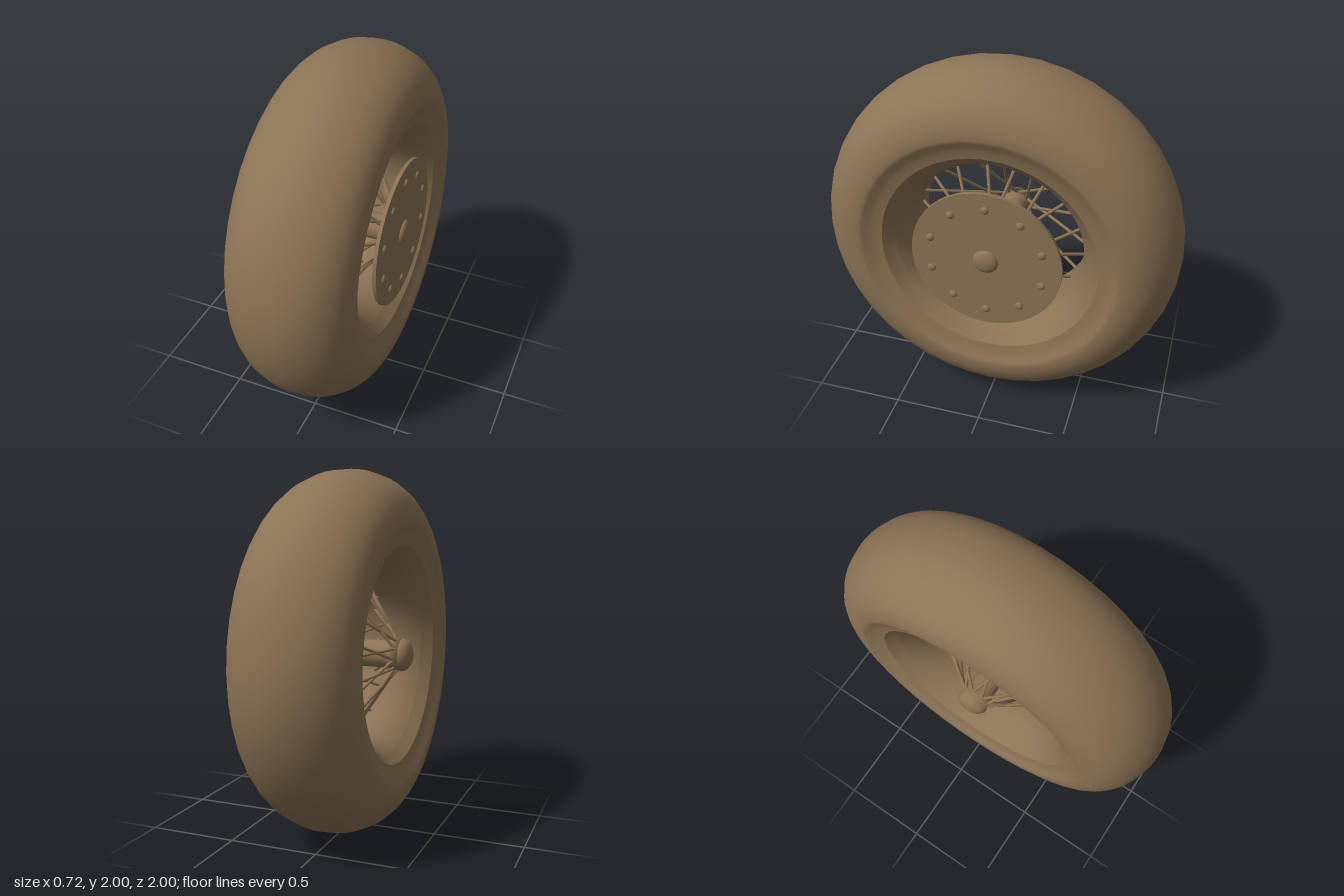
import * as THREE from 'three';

const V2 = (r, x) => new THREE.Vector2(r, x);

export function createModel() {
  const root = new THREE.Group();
  root.name = 'spokedWheel';
  const brown = new THREE.MeshStandardMaterial({ color: 0x8b7355 });
  brown.name = 'brown';

  // The wheel is built around its axle, which runs along x at y = 1
  const wheel = new THREE.Group();
  wheel.name = 'wheel';
  wheel.position.y = 1;
  root.add(wheel);

  const add = (name, geometry, parent = wheel) => {
    const mesh = new THREE.Mesh(geometry, brown);
    mesh.name = name;
    parent.add(mesh);
    return mesh;
  };
  // Revolves [radius, x] points around the axle
  const revolve = (name, points, segments = 40) => add(name,
    new THREE.LatheGeometry(points, segments).rotateZ(-Math.PI / 2).rotateX(Math.PI / 2));

  // Tyre: recessed sidewall, then a round tread
  const side = [V2(0.6, 0.3), V2(0.64, 0.308), V2(0.675, 0.32), V2(0.7, 0.336)];
  const tyre = side.map(p => V2(p.x, -p.y));
  for (let i = 0; i <= 24; i++) {
    const a = -Math.PI / 2 + Math.PI * i / 24;
    tyre.push(V2(0.72 + 0.28 * Math.cos(a), 0.341 * Math.sin(a)));
  }
  tyre.push(...side.slice().reverse());
  revolve('tyre', tyre);

  // Rim: a sloping lip each side and a rounded well between them
  revolve('rimLipLeft', [V2(0.6, 0.3), V2(0.545, 0.24)]);
  revolve('rimLipRight', [V2(0.545, -0.24), V2(0.6, -0.3)]);
  const well = [];
  for (let i = 0; i <= 16; i++) {
    const x = 0.24 - 0.48 * i / 16;
    well.push(V2(0.48 + 0.065 * Math.pow(Math.abs(x) / 0.24, 3), x));
  }
  revolve('rimWell', well);

  // Hub with a flange at each end
  revolve('hub', [V2(0, -0.3), V2(0.085, -0.3), V2(0.085, -0.25), V2(0.075, -0.22),
    V2(0.075, 0.22), V2(0.085, 0.25), V2(0.085, 0.31)], 24);

  // Domed caps on both ends
  const dome = (radius, base, height) => {
    const pts = [];
    for (let i = 0; i <= 8; i++) {
      const a = Math.PI / 2 * i / 8;
      pts.push(V2(radius * Math.cos(a), base + height * Math.sin(a)));
    }
    return pts;
  };
  revolve('capLeft', dome(0.07, 0.325, 0.03), 24);
  revolve('capRight', dome(0.09, 0.3, 0.06).map(p => V2(p.x, -p.y)).reverse(), 24);

  // Cover disc with a ring of bolts
  add('coverDisc', new THREE.CylinderGeometry(0.415, 0.415, 0.02, 48)
    .rotateZ(-Math.PI / 2)).position.x = 0.315;
  for (let i = 0; i < 10; i++) {
    const a = Math.PI / 2 + i * Math.PI / 5;
    const bolt = add('bolt', new THREE.SphereGeometry(0.023, 12, 8));
    bolt.scale.x = 0.6;
    bolt.position.set(0.325, 0.32 * Math.sin(a), 0.32 * Math.cos(a));
  }

  // Crossed spokes, alternating between the two ends of the hub
  const spokes = new THREE.Group();
  spokes.name = 'spokes';
  wheel.add(spokes);
  const up = new THREE.Vector3(0, 1, 0);
  const polar = (x, r, a) => new THREE.Vector3(x, r * Math.sin(a), r * Math.cos(a));
  for (let i = 0; i < 32; i++) {
    const end = i % 2 ? 1 : -1;
    const lean = Math.floor(i / 2) % 2 ? 1 : -1;
    const a = Math.PI / 2 + i * Math.PI / 16;
    const from = polar(end * 0.28, 0.075, a + lean * 0.6);
    const to = polar(end * -0.02, 0.485, a);
    const dir = to.clone().sub(from);
    const spoke = add('spoke', new THREE.CylinderGeometry(0.009, 0.009, dir.length(), 8), spokes);
    spoke.position.copy(from).addScaledVector(dir, 0.5);
    spoke.quaternion.setFromUnitVectors(up, dir.normalize());
  }
  return root;
}
